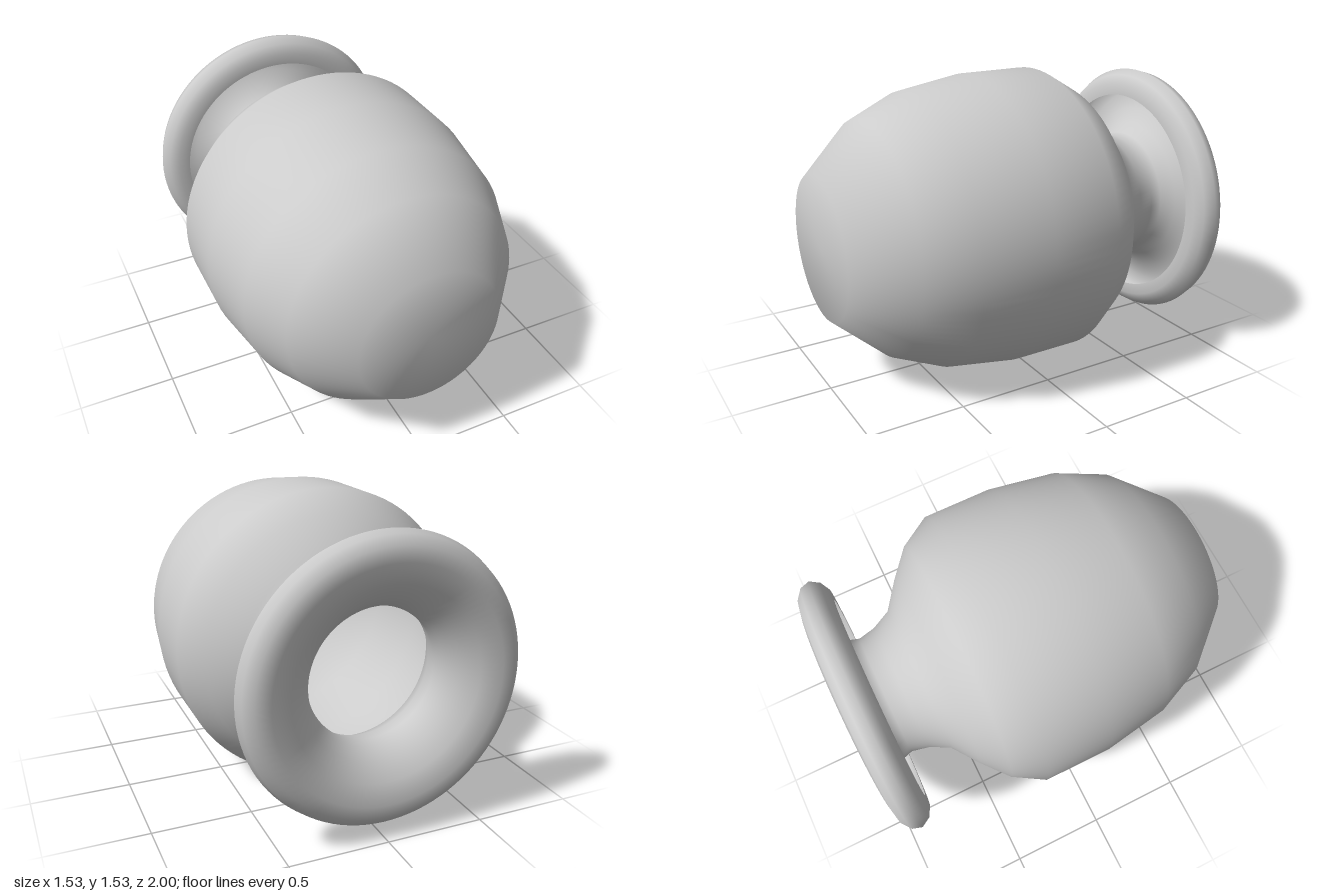
import * as THREE from 'three';

export function createModel() {
  const group = new THREE.Group();
  group.name = 'vase';

  // thin-walled profile as [radius, height along the axis], base to lip
  const profile = [
    // closed base
    [0, -1], [0.365, -1],
    // belly
    [0.6, -0.74], [0.71, -0.49], [0.765, -0.14], [0.765, 0.22], [0.67, 0.38], [0.53, 0.5],
    // shoulder and neck
    [0.395, 0.6], [0.345, 0.7], [0.325, 0.79],
    // flared mouth
    [0.34, 0.84], [0.39, 0.9], [0.47, 0.965], [0.57, 1],
    // lip rolled outward and back under
    [0.64, 0.985], [0.685, 0.95], [0.7, 0.9], [0.67, 0.85], [0.62, 0.823], [0.56, 0.823],
  ].map(([r, h]) => new THREE.Vector2(r, h));

  const material = new THREE.MeshStandardMaterial({ color: 0xcccccc, side: THREE.DoubleSide });
  const shell = new THREE.Mesh(new THREE.LatheGeometry(profile, 96), material);
  shell.name = 'vaseShell';

  // lies on its side with the mouth to the back
  shell.rotation.x = -Math.PI / 2;
  shell.position.y = 0.765;
  group.add(shell);
  return group;
}
